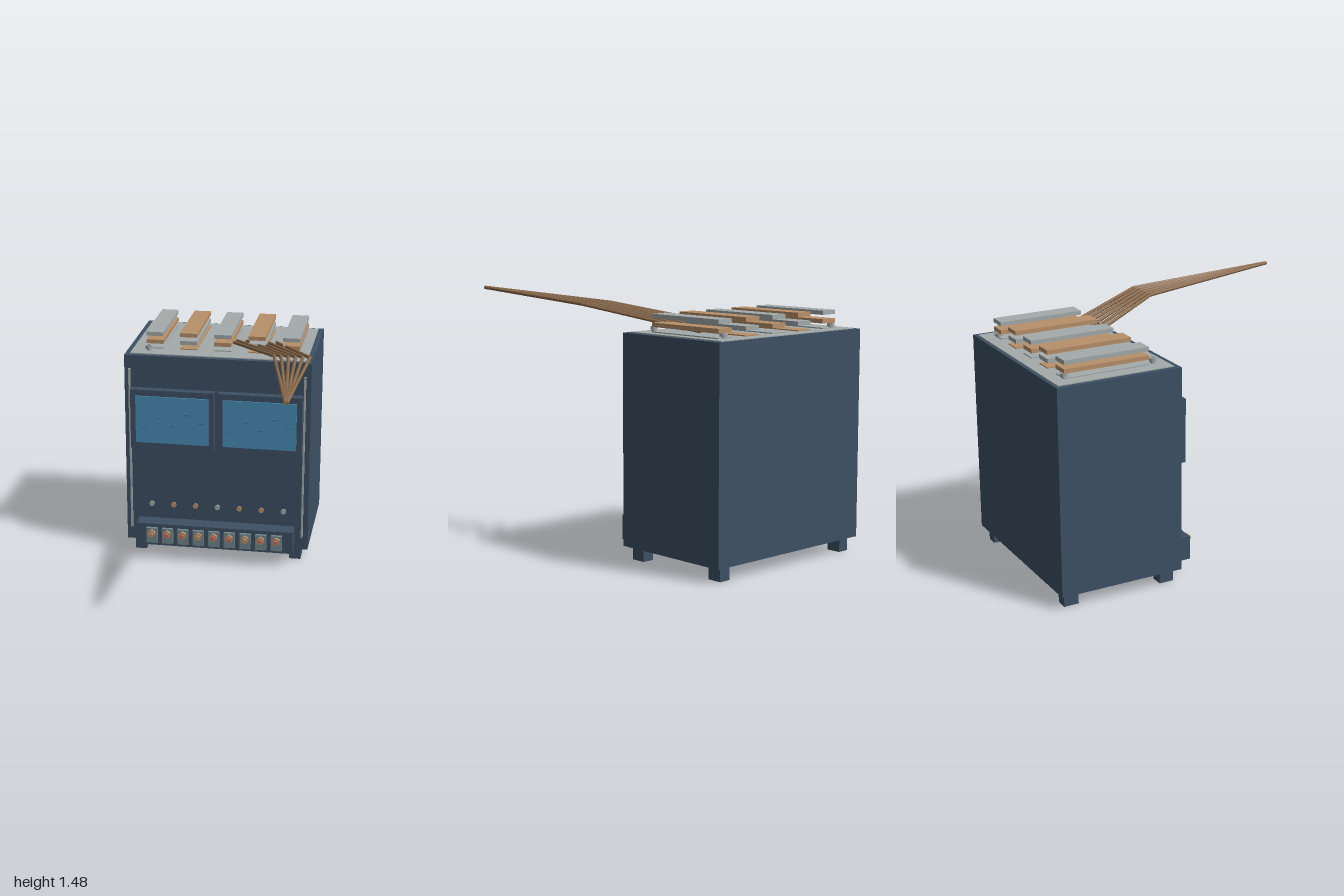
import * as THREE from 'three';

const mat = (name, color) => {
  const m = new THREE.MeshStandardMaterial({ color });
  m.name = name;
  return m;
};

export function createModel() {
  const navy = mat('navy', 0x3d5064);
  const grey = mat('grey', 0xa4aaaa);
  const copper = mat('copper', 0xb8906a);
  const glass = mat('blueGlass', 0x4a8eb8);
  const mark = mat('darkBlue', 0x3a789e);
  const slate = mat('slate', 0x70868c);
  const red = mat('red', 0xc8685f);
  const cable = mat('cableBrown', 0x8b6b4d);

  const model = new THREE.Group();
  model.name = 'controlCabinet';

  const add = (name, geo, material, parent = model) => {
    const mesh = new THREE.Mesh(geo, material);
    mesh.name = name;
    parent.add(mesh);
    return mesh;
  };
  // Box given by its extents
  const box = (name, m, x0, x1, y0, y1, z0, z1, parent) => {
    const mesh = add(name, new THREE.BoxGeometry(x1 - x0, y1 - y0, z1 - z0), m, parent);
    mesh.position.set((x0 + x1) / 2, (y0 + y1) / 2, (z0 + z1) / 2);
    return mesh;
  };
  // Disc whose axis runs along z
  const disc = (name, m, r, x, y, z0, z1, sides, parent) => {
    const geo = new THREE.CylinderGeometry(r, r, z1 - z0, sides).rotateX(Math.PI / 2);
    const mesh = add(name, geo, m, parent);
    mesh.position.set(x, y, (z0 + z1) / 2);
    return mesh;
  };
  // Round bar between two points
  const rod = (name, m, r, a, b, parent) => {
    const d = b.clone().sub(a);
    const mesh = add(name, new THREE.CylinderGeometry(r, r, d.length(), 8), m, parent);
    mesh.position.copy(a).add(b).multiplyScalar(0.5);
    mesh.quaternion.setFromUnitVectors(new THREE.Vector3(0, 1, 0), d.normalize());
    return mesh;
  };

  // Cabinet, lid plate and feet
  box('cabinet', navy, -0.583, 0.548, 0.08, 1.28, -1, -0.255);
  box('topPlate', grey, -0.553, 0.516, 1.278, 1.285, -0.98, -0.286);
  for (const x of [-0.54, 0.433])
    for (const z of [-0.97, -0.372]) box('foot', navy, x, x + 0.07, 0, 0.08, z, z + 0.088);

  // Side rails on the front
  for (const x of [-0.558, 0.506]) box('frontRail', grey, x, x + 0.012, 0.16, 1.197, -0.256, -0.243);

  // Two display windows with small raised marks
  const marks = [[-0.455, 0.841], [-0.366, 0.911], [-0.279, 0.863], [-0.193, 0.936], [-0.107, 0.888]];
  for (const dx of [0, 0.533]) {
    const display = new THREE.Group();
    display.name = 'display';
    display.position.x = dx;
    model.add(display);
    box('displayFrame', navy, -0.54, -0.031, 0.707, 1.08, -0.256, -0.205, display);
    box('displayGlass', glass, -0.507, -0.062, 0.747, 1.043, -0.206, -0.197, display);
    for (const [x, y] of marks)
      box('displayMark', mark, x - 0.017, x + 0.017, y - 0.005, y + 0.005, -0.198, -0.19, display);
  }

  // Row of indicator studs
  for (let i = 0; i < 7; i++)
    disc('indicatorStud', i % 3 === 0 ? grey : copper, 0.017, -0.416 + i * 0.136, 0.342, -0.218, -0.207, 8);

  // Terminal strip
  box('terminalShelf', navy, -0.503, 0.466, 0.09, 0.231, -0.256, -0.153);
  for (let i = 0; i < 9; i++) {
    const x = -0.404 + i * 0.0966;
    const terminal = new THREE.Group();
    terminal.name = 'terminal';
    model.add(terminal);
    box('terminalBlock', slate, x - 0.034, x + 0.034, 0.111, 0.209, -0.154, -0.132, terminal);
    disc('terminalNut', copper, 0.025, x, 0.178, -0.133, -0.112, 6, terminal);
    disc('terminalScrew', i % 3 === 0 ? copper : red, 0.013, x, 0.178, -0.113, -0.097, 10, terminal);
  }

  // Stacked bars on the lid, metals alternating by column and layer
  for (let c = 0; c < 5; c++) {
    const x = -0.422 + c * 0.2078;
    for (let k = 0; k < 3; k++) {
      const y = 1.267 + k * 0.0483;
      box('busBar', (c + k) % 2 ? copper : grey, x - 0.052, x + 0.052, y, y + 0.024, -0.905, -0.397);
    }
  }

  // Corner screws with crossed slots
  for (const x of [-0.45, 0.41])
    for (const z of [-0.895, -0.36]) {
      const screw = new THREE.Group();
      screw.name = 'lidScrew';
      screw.position.set(x, 1.28, z);
      model.add(screw);
      add('screwShank', new THREE.CylinderGeometry(0.015, 0.015, 0.02, 12), grey, screw).position.y = 0.01;
      add('screwHead', new THREE.CylinderGeometry(0.022, 0.022, 0.018, 12), grey, screw).position.y = 0.025;
      box('screwSlot', slate, -0.014, 0.014, 0.033, 0.036, -0.003, 0.003, screw);
      box('screwSlot', slate, -0.003, 0.003, 0.033, 0.036, -0.014, 0.014, screw);
    }

  // Bundle of six bent cables meeting at a point
  for (let i = 0; i < 6; i++) {
    const bundle = new THREE.Group();
    bundle.name = 'cable';
    model.add(bundle);
    const start = new THREE.Vector3(-0.01 + i * 0.061, 1.293, -0.61);
    const bend = new THREE.Vector3(0.362 + i * 0.041, 1.42, 0.065);
    const end = new THREE.Vector3(0.537 + i * 0.0015, 1.467, 0.999);
    rod('cableInner', cable, 0.01, start, bend, bundle);
    rod('cableOuter', cable, 0.01, bend, end, bundle);
    add('cableBend', new THREE.SphereGeometry(0.01, 8, 6), cable, bundle).position.copy(bend);
  }

  return model;
}
